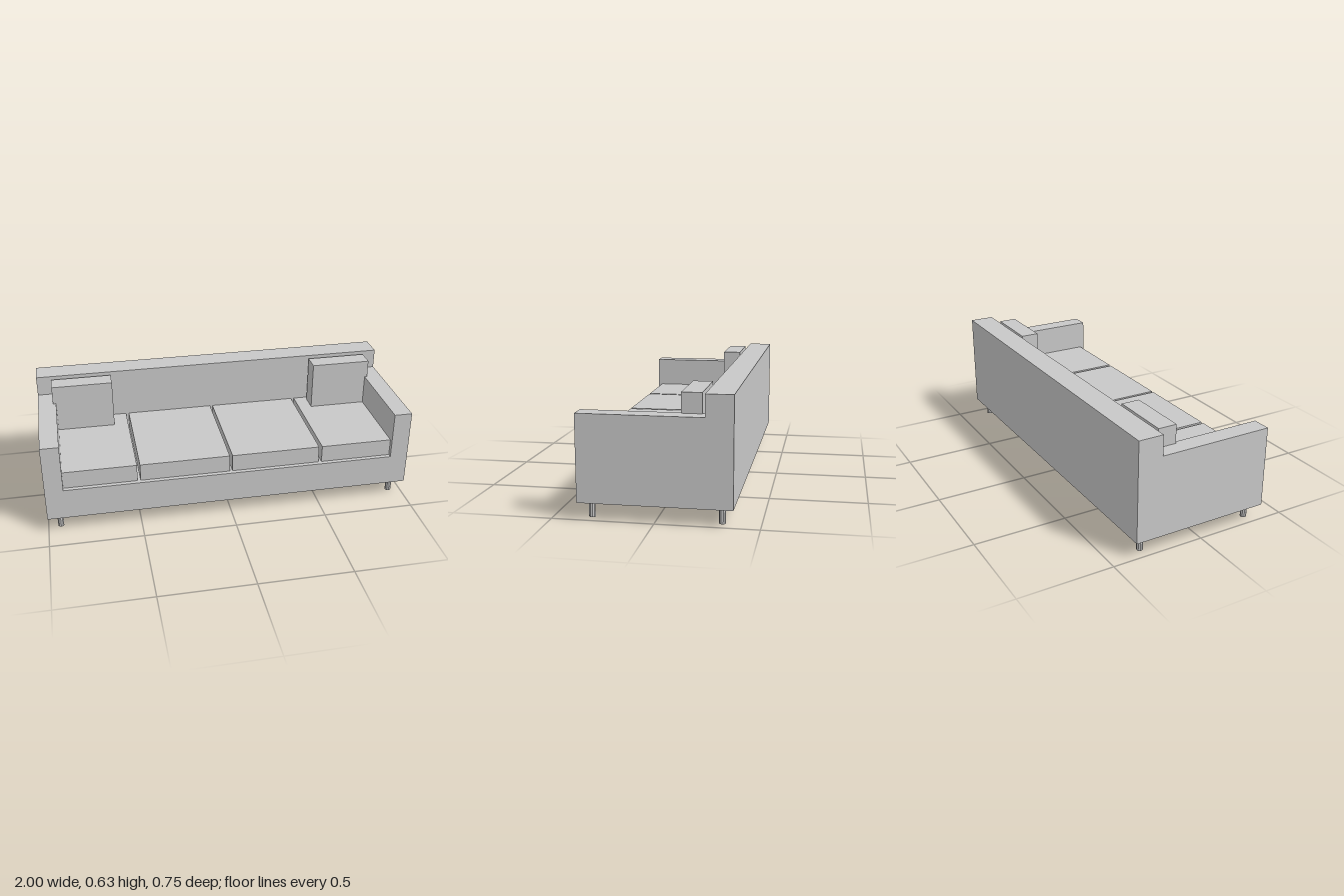
import * as THREE from 'three';

export function createModel() {
  const sofa = new THREE.Group();
  sofa.name = 'sofa';
  const grey = new THREE.MeshStandardMaterial({ color: 0xc8c8c8 });
  grey.name = 'lightGrey';

  const add = (name, geometry) => {
    const mesh = new THREE.Mesh(geometry, grey);
    mesh.name = name;
    sofa.add(mesh);
    return mesh;
  };
  // Box given by its limits on each axis
  const addBox = (name, [x0, x1], [y0, y1], [z0, z1]) =>
    add(name, new THREE.BoxGeometry(x1 - x0, y1 - y0, z1 - z0))
      .position.set((x0 + x1) / 2, (y0 + y1) / 2, (z0 + z1) / 2);

  const bottom = 0.084, seat = 0.255, armTop = 0.517, cushionTop = 0.35;
  const depth = 0.374, backFront = -0.241, armInner = 0.902;

  // Seat base and both arms as one U-shaped body
  const profile = new THREE.Shape([
    [-1, bottom], [1, bottom], [1, armTop], [armInner, armTop],
    [armInner, seat], [-armInner, seat], [-armInner, armTop], [-1, armTop],
  ].map(([x, y]) => new THREE.Vector2(x, y)));
  add('baseAndArms', new THREE.ExtrudeGeometry(profile, {
    depth: depth - backFront, bevelEnabled: false,
  })).position.z = backFront;

  addBox('backrest', [-1, 1], [bottom, 0.626], [-depth, backFront]);

  // Seat cushions with narrow gaps between them
  const cushions = [[-armInner, -0.509], [-0.493, -0.008], [0.007, 0.491], [0.509, armInner]];
  for (const span of cushions) addBox('seatCushion', span, [seat, cushionTop], [backFront, 0.35]);

  // Upright pillows at both ends
  for (const span of [[-0.919, -0.586], [0.582, 0.917]])
    addBox('pillow', span, [cushionTop, 0.617], [-0.216, -0.116]);

  // Short faceted legs
  const legGeometry = new THREE.CylinderGeometry(0.0165, 0.0165, bottom, 10).toNonIndexed();
  legGeometry.computeVertexNormals();
  for (const x of [-0.933, 0.933])
    for (const z of [-0.316, 0.316])
      add('leg', legGeometry).position.set(x, bottom / 2, z);

  return sofa;
}
